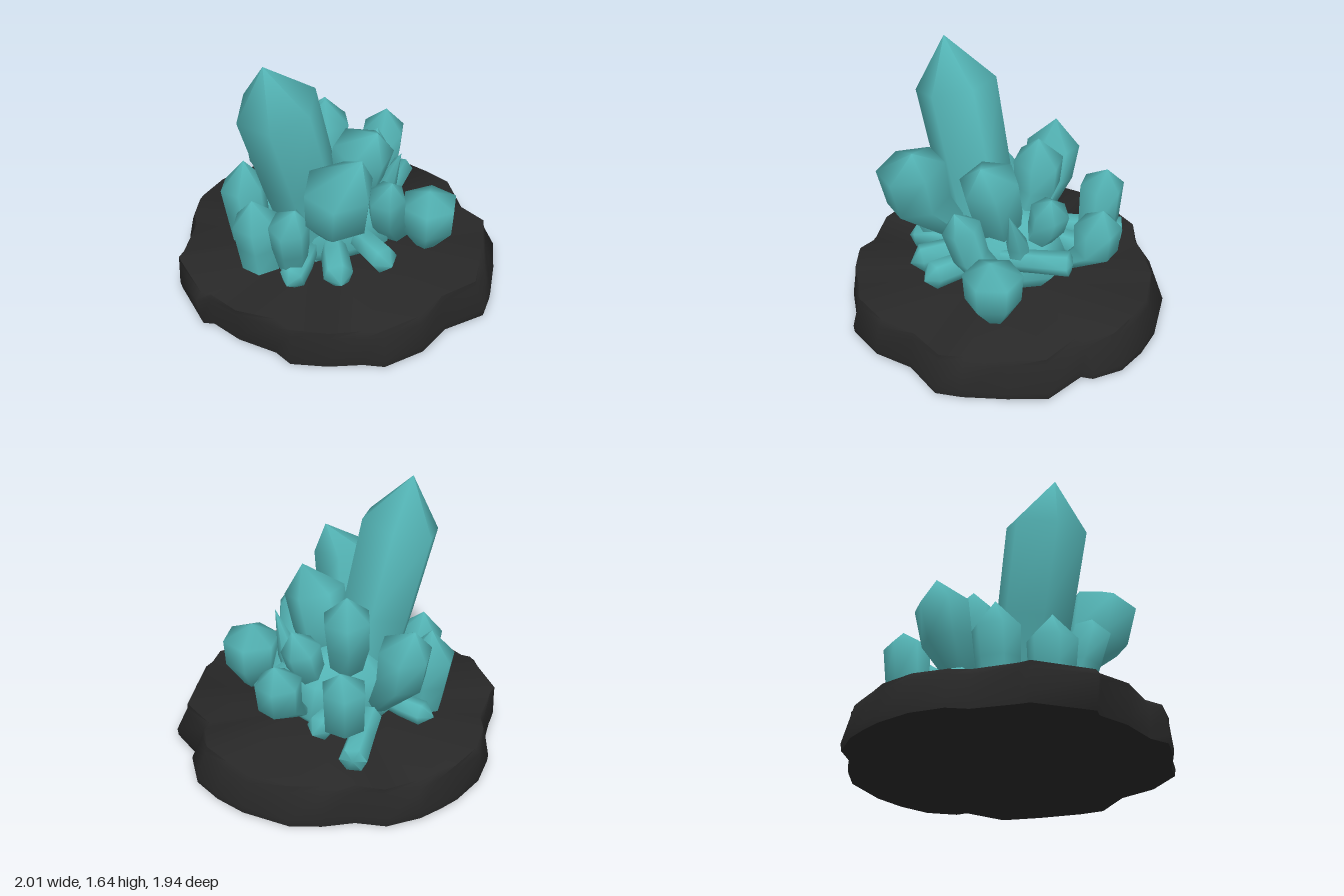
import * as THREE from 'three';
import { toCreasedNormals } from 'three/addons/utils/BufferGeometryUtils.js';

const crystalTeal = new THREE.MeshStandardMaterial({ color: 0x53b3b4 });
crystalTeal.name = 'crystalTeal';
const darkRock = new THREE.MeshStandardMaterial({ color: 0x282828 });
darkRock.name = 'darkRock';

// Closed skin over rings of equal point count, capped by a start and an end point
function skin(rings, start, end, crease) {
  const n = rings[0].length;
  const pts = [start, ...rings.flat(), end];
  const last = pts.length - 1;
  const index = [];
  for (let i = 0; i < n; i++) {
    const j = (i + 1) % n;
    index.push(0, 1 + j, 1 + i);
    for (let r = 0; r < rings.length - 1; r++) {
      const a = 1 + r * n, b = a + n;
      index.push(a + i, a + j, b + j, a + i, b + j, b + i);
    }
    const t = 1 + (rings.length - 1) * n;
    index.push(t + i, t + j, last);
  }
  const g = new THREE.BufferGeometry().setFromPoints(pts);
  g.setIndex(index);
  return toCreasedNormals(g, crease);
}

// Six-sided crystal: narrow foot, bent waist, shoulder ring and off-axis point
function crystal(name, foot, waist, shoulder, tip, radius, footScale = 0.4, twist = 0) {
  const [a, w, b, t] = [foot, waist, shoulder, tip].map((p) => new THREE.Vector3(...p));
  const axis = b.clone().sub(w).normalize();
  const u = new THREE.Vector3(0, 0, 1).addScaledVector(axis, -axis.z).normalize();
  const v = axis.clone().cross(u);
  const ring = (center, r) => Array.from({ length: 6 }, (_, i) => {
    const ang = twist + i * Math.PI / 3;
    return center.clone()
      .addScaledVector(u, Math.cos(ang) * r)
      .addScaledVector(v, Math.sin(ang) * r);
  });
  const rings = [ring(a, radius * footScale), ring(w, radius * 0.93), ring(b, radius)];
  const mesh = new THREE.Mesh(skin(rings, a, t, 1.45), crystalTeal);
  mesh.name = name;
  return mesh;
}

// Straight crystal, with its waist halfway along
function straightCrystal(name, foot, shoulder, tip, ...rest) {
  const waist = foot.map((f, i) => (f + shoulder[i]) / 2);
  return crystal(name, foot, waist, shoulder, tip, ...rest);
}

// Rough round slab
function rockBase() {
  const outline = [
    [1, 0], [0.94, 0.18], [0.88, 0.22], [0.89, 0.49], [0.73, 0.67], [0.54, 0.85], [0.41, 0.94],
    [0.14, 0.9], [-0.09, 0.97], [-0.35, 0.94], [-0.44, 0.85], [-0.61, 0.74], [-0.77, 0.59],
    [-0.78, 0.46], [-0.91, 0.24], [-0.95, 0.03], [-1, -0.02], [-0.92, -0.39], [-0.85, -0.42],
    [-0.66, -0.61], [-0.61, -0.73], [-0.45, -0.86], [-0.24, -0.94], [-0.11, -0.96], [0.04, -0.97],
    [0.25, -0.93], [0.39, -0.81], [0.57, -0.74], [0.73, -0.64], [0.9, -0.39], [0.97, -0.2],
  ].reverse();
  const ring = (y, scale) => outline.map(([x, z], i) => {
    const s = scale(x, i);
    return new THREE.Vector3(x * s, y, z * s);
  });
  const rings = [
    ring(0.005, (x) => (x < -0.9 ? 0.97 : 0.995)),
    ring(0.05, (x) => (x < -0.9 ? 0.98 : 1)),
    ring(0.2, (x, i) => 0.965 - 0.03 * x + 0.015 * Math.sin(i * 2.3)),
    ring(0.24, (x, i) => 0.948 - 0.035 * x + 0.012 * Math.sin(i * 1.7)),
  ];
  const mesh = new THREE.Mesh(
    skin(rings, new THREE.Vector3(0, 0, 0), new THREE.Vector3(0, 0.24, 0), 1.2), darkRock);
  mesh.name = 'rockBase';
  return mesh;
}

// Uneven mound the crystals grow from
function crystalRoot() {
  const ring = (y, r) => Array.from({ length: 10 }, (_, i) => {
    const ang = -i * Math.PI / 5;
    const s = r * (1 + 0.12 * Math.sin(i * 2.6));
    return new THREE.Vector3(Math.cos(ang) * s, y, Math.sin(ang) * s * 0.85);
  });
  const g = skin([ring(0.23, 0.3), ring(0.34, 0.39), ring(0.52, 0.32), ring(0.65, 0.18)],
    new THREE.Vector3(0, 0.23, 0), new THREE.Vector3(0, 0.7, 0), 1.45);
  const mesh = new THREE.Mesh(g, crystalTeal);
  mesh.name = 'crystalRoot';
  return mesh;
}

export function createModel() {
  const model = new THREE.Group();
  model.name = 'crystalCluster';
  const S = Math.PI / 6;
  model.add(
    rockBase(),
    crystalRoot(),
    // Tall leaning crystal
    straightCrystal('tallCrystal', [-0.13, 0.28, 0.02], [-0.43, 1.35, 0.02], [-0.52, 1.64, 0.03], 0.246, 0.8, S / 2),
    // Large crystals with heads on narrow stems
    crystal('frontRightCrystal', [-0.2, 0.48, 0.2], [-0.31, 0.76, 0.43], [-0.33, 1.0, 0.47], [-0.22, 1.17, 0.54], 0.208, 0.4, S / 2),
    crystal('frontCenterCrystal', [0.03, 0.4, 0.05], [0.05, 0.74, 0.14], [0.06, 0.96, 0.2], [0.09, 1.1, 0.29], 0.183, 0.5),
    crystal('backCenterCrystal', [0, 0.4, -0.06], [0.06, 0.78, -0.19], [0.07, 0.96, -0.19], [0.07, 1.1, -0.19], 0.152, 0.55, S),
    crystal('backTallCrystal', [-0.09, 0.34, -0.28], [-0.13, 0.63, -0.47], [-0.13, 0.85, -0.51], [-0.16, 0.99, -0.56], 0.163, 0.4, S / 2),
    crystal('backLeftCrystal', [0.22, 0.36, -0.42], [0.28, 0.48, -0.51], [0.29, 0.74, -0.52], [0.32, 0.855, -0.53], 0.138, 0.5, S),
    crystal('leftCrystal', [0.36, 0.37, -0.13], [0.54, 0.53, -0.22], [0.55, 0.7, -0.22], [0.58, 0.82, -0.23], 0.14, 0.4, S / 2),
    crystal('leftInnerCrystal', [0.14, 0.38, -0.02], [0.28, 0.64, -0.06], [0.31, 0.76, -0.06], [0.35, 0.87, -0.03], 0.12, 0.5),
    crystal('frontLeftCrystal', [0.37, 0.26, 0.43], [0.37, 0.41, 0.45], [0.37, 0.58, 0.45], [0.36, 0.665, 0.46], 0.178, 0.35, S / 2),
    crystal('frontSlimCrystal', [0.26, 0.31, 0.26], [0.1, 0.54, 0.38], [0.06, 0.74, 0.42], [0.06, 0.86, 0.47], 0.118, 0.8, S),
    straightCrystal('rightFrontCrystal', [-0.45, 0.32, 0.18], [-0.53, 0.7, 0.26], [-0.5, 0.8, 0.28], 0.12, 0.7),
    straightCrystal('rightCrystal', [-0.53, 0.26, -0.02], [-0.56, 0.57, -0.03], [-0.58, 0.72, -0.04], 0.15, 0.85, S / 2),
    straightCrystal('rightBackCrystal', [-0.42, 0.25, -0.29], [-0.45, 0.62, -0.33], [-0.44, 0.79, -0.33], 0.143, 0.85, S / 2),
    // Low, nearly flat crystals
    straightCrystal('flatBackCrystal', [0.03, 0.37, -0.38], [0.32, 0.34, -0.67], [0.33, 0.34, -0.68], 0.085, 0.9),
    straightCrystal('flatLeftCrystal', [0.18, 0.47, 0.2], [0.53, 0.52, -0.01], [0.55, 0.52, -0.02], 0.075, 0.9),
    straightCrystal('shortLeftCrystal', [0.08, 0.4, -0.22], [0.36, 0.38, -0.35], [0.42, 0.37, -0.38], 0.08, 0.9),
    straightCrystal('thinSpire', [0.24, 0.42, 0.12], [0.265, 0.6, 0.16], [0.3, 0.86, 0.26], 0.07, 1.3),
    straightCrystal('lowFrontCrystal', [-0.01, 0.38, 0.18], [-0.05, 0.4, 0.55], [-0.05, 0.39, 0.62], 0.085, 0.8, S),
    straightCrystal('lowRightFrontCrystal', [-0.14, 0.38, 0.15], [-0.3, 0.33, 0.43], [-0.33, 0.31, 0.5], 0.09, 0.7),
    straightCrystal('lowRightCrystal', [-0.3, 0.37, 0.15], [-0.52, 0.31, 0.27], [-0.58, 0.3, 0.3], 0.08, 0.7, S),
    straightCrystal('lowBackCrystal', [-0.15, 0.36, -0.25], [-0.28, 0.34, -0.49], [-0.33, 0.32, -0.54], 0.075, 0.7),
  );
  return model;
}
